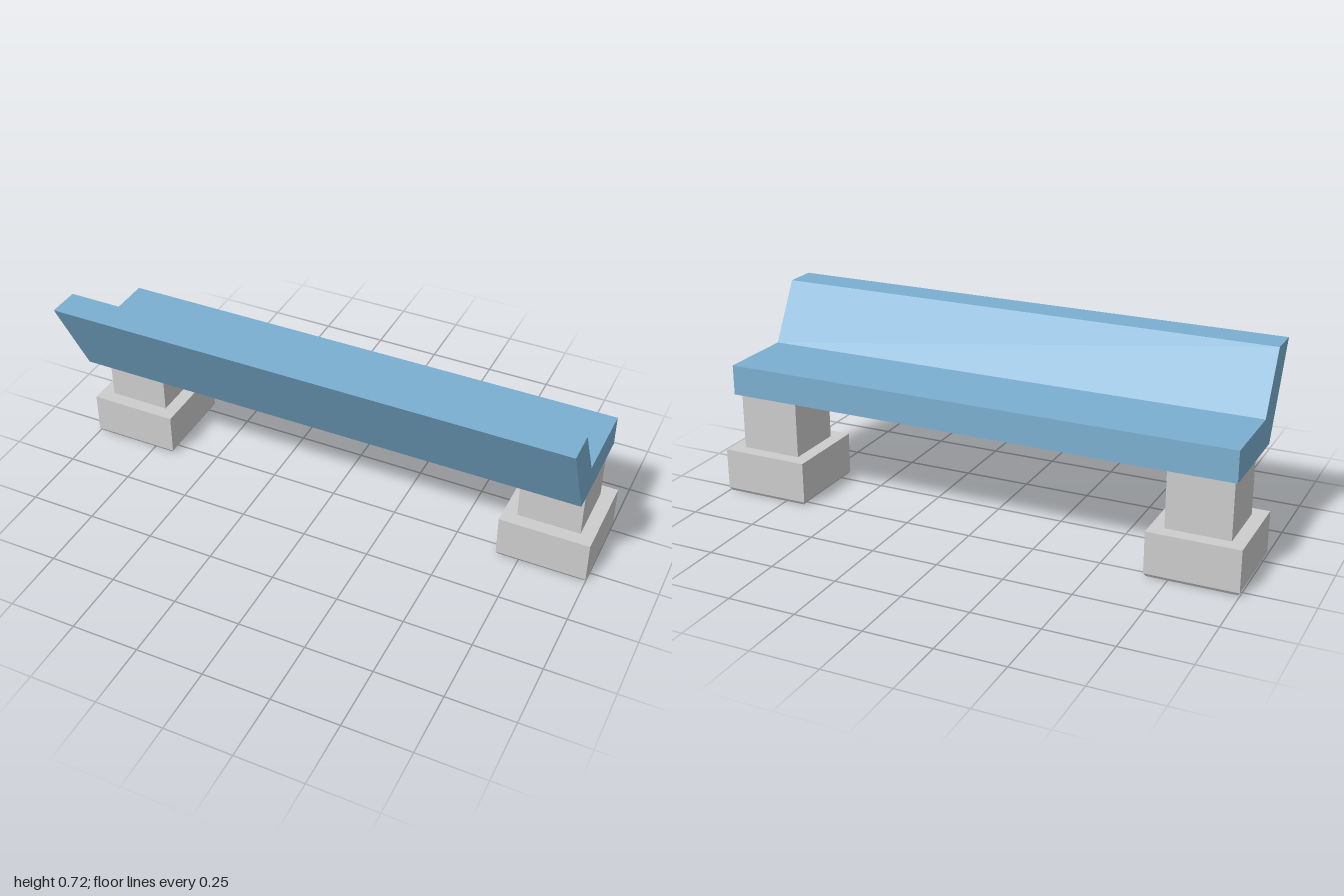
import * as THREE from 'three';

const paint = new THREE.MeshStandardMaterial({ color: 0x7bafd1 });
paint.name = 'blue paint';
const concrete = new THREE.MeshStandardMaterial({ color: 0xcccccc });
concrete.name = 'grey concrete';

function mesh(name, geometry, material) {
  const m = new THREE.Mesh(geometry, material);
  m.name = name;
  return m;
}

// Square block turned from a [half width, height] profile
function squareLathe(profile) {
  const points = profile.map(([h, y]) => new THREE.Vector2(h * Math.SQRT2, y));
  const g = new THREE.LatheGeometry(points, 4, Math.PI / 4).toNonIndexed();
  g.computeVertexNormals();
  return g;
}

export function createModel() {
  const group = new THREE.Group();
  group.name = 'bench';

  // Seat and slanted rail: one profile (z, y) swept along x
  const profile = new THREE.Shape([
    [-0.258, 0.386], [0.113, 0.386], [0.282, 0.718],
    [0.163, 0.718], [0.042, 0.5], [-0.258, 0.5],
  ].map(([z, y]) => new THREE.Vector2(z, y)));
  const length = 1.928;
  const seat = new THREE.ExtrudeGeometry(profile, { depth: length, bevelEnabled: false });
  seat.translate(0, 0, -length / 2);
  seat.rotateY(-Math.PI / 2);
  group.add(mesh('seat', seat, paint));

  // Footing with a chamfered bottom edge and a hollow underneath
  const footing = squareLathe([
    [0, 0.082], [0.098, 0.082], [0.098, 0], [0.159, 0],
    [0.1667, 0.012], [0.1667, 0.167], [0, 0.167],
  ]);
  const column = new THREE.BoxGeometry(0.232, 0.219, 0.232);
  column.translate(0, 0.2765, 0);

  // A leg at each end
  for (const side of [-1, 1]) {
    const leg = new THREE.Group();
    leg.name = side > 0 ? 'leftLeg' : 'rightLeg';
    leg.add(mesh('footing', footing, concrete), mesh('column', column, concrete));
    leg.position.set(side * 0.8333, 0, -0.115);
    group.add(leg);
  }
  return group;
}
